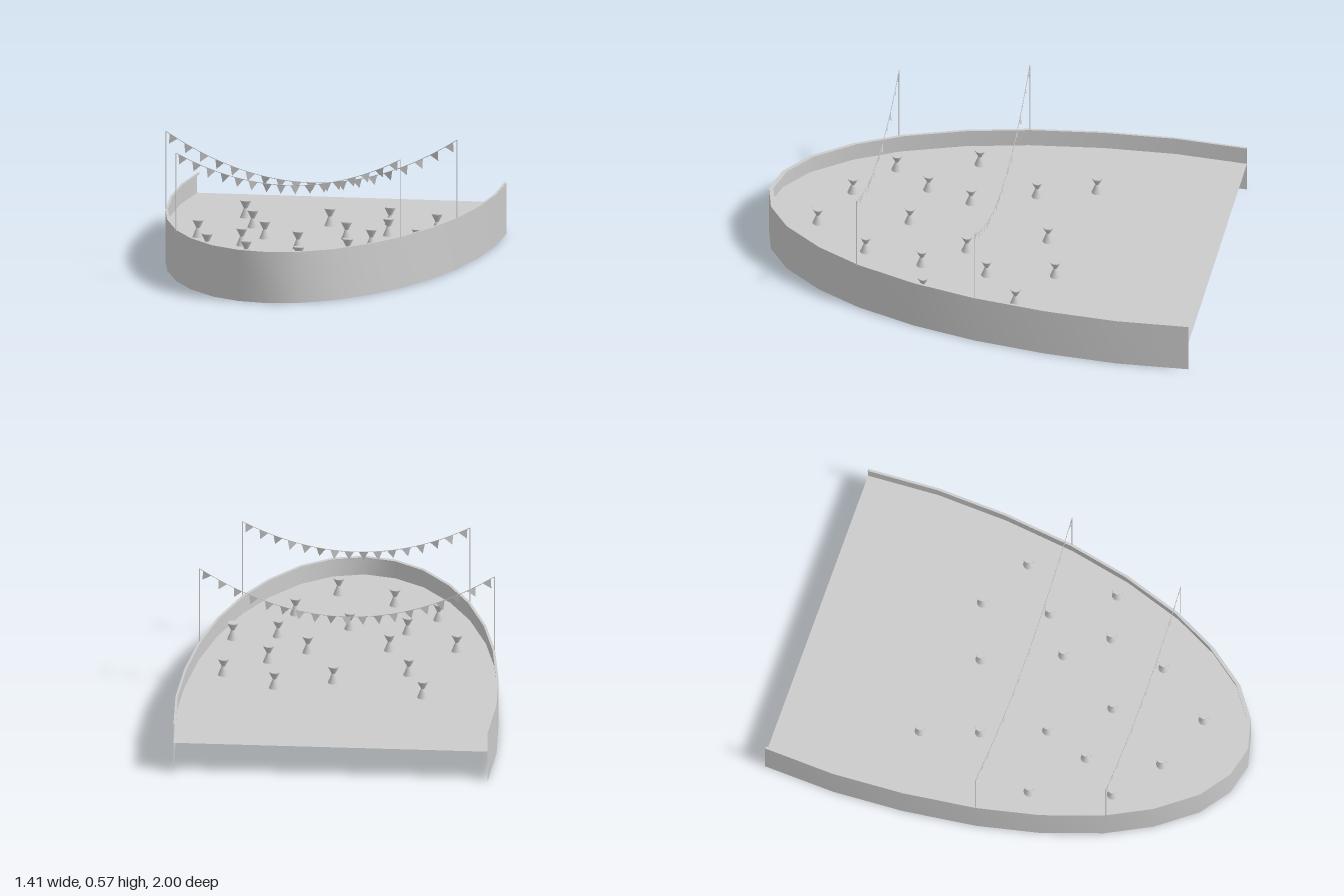
import * as THREE from 'three';

const DECK_Y = 0.138, RIM_Y = 0.227;

// half outline of the hull [x, z], bow to stern
const HALF = [[0, 1], [0.138, 0.965], [0.27, 0.87], [0.4, 0.7], [0.5, 0.505],
  [0.59, 0.24], [0.65, -0.035], [0.69, -0.36], [0.705, -0.68], [0.69, -1]];
// full outline, left stern round the bow to right stern
const OUTER = [...HALF.slice(1).reverse(), ...HALF.map(([x, z]) => [-x, z])];
const INNER = OUTER.map(([x, z]) => [x * 0.985, -1 + (z + 1) * 0.99]);

// tables standing on the deck [x, z]
const TABLES = [[-0.36, -0.395], [0.296, -0.333], [0.043, -0.253], [0.53, -0.2],
  [-0.28, -0.143], [0.344, -0.036], [0.18, 0.083], [-0.175, 0.132], [-0.47, 0.148],
  [0.52, 0.215], [0.323, 0.257], [-0.24, 0.333], [0.017, 0.368], [-0.364, 0.498],
  [0.267, 0.518], [-0.16, 0.655], [0.095, 0.763]];

const grey = new THREE.MeshStandardMaterial({ color: 0xcccccc, side: THREE.DoubleSide });

function add(parent, name, geometry, x = 0, y = 0, z = 0) {
  const mesh = new THREE.Mesh(geometry, grey);
  mesh.name = name;
  mesh.position.set(x, y, z);
  parent.add(mesh);
  return mesh;
}

// ribbon between two outlines at two heights
function ribbon(lineA, yA, lineB, yB) {
  const n = lineA.length, pos = [], idx = [];
  for (const [x, z] of lineA) pos.push(x, yA, z);
  for (const [x, z] of lineB) pos.push(x, yB, z);
  for (let i = 0; i < n - 1; i++) {
    idx.push(i, n + i + 1, i + 1, i, n + i, n + i + 1);
  }
  const g = new THREE.BufferGeometry();
  g.setAttribute('position', new THREE.Float32BufferAttribute(pos, 3));
  g.setIndex(idx);
  g.computeVertexNormals();
  return g;
}

// two poles, a sagging line and a row of pennants
function buntingRow(name, halfSpan, z, lowY, count) {
  const group = new THREE.Group();
  group.name = name;
  group.position.z = z;
  const topY = 0.572;
  const sag = (x) => lowY + (topY - lowY) * (x / halfSpan) ** 2;

  for (const s of [-1, 1]) {
    const h = topY - DECK_Y - 0.085;
    add(group, 'pole', new THREE.CylinderGeometry(0.002, 0.002, h, 6), s * halfSpan, topY - h / 2, 0);
  }

  const points = [];
  for (let i = 0; i <= 16; i++) {
    const x = halfSpan * (i / 8 - 1);
    points.push(new THREE.Vector3(x, sag(x), 0));
  }
  add(group, 'line', new THREE.TubeGeometry(new THREE.CatmullRomCurve3(points), 40, 0.0015, 4));

  const pennant = new THREE.ShapeGeometry(new THREE.Shape([
    new THREE.Vector2(-0.021, 0), new THREE.Vector2(0, -0.04), new THREE.Vector2(0.021, 0)]));
  for (let i = 0; i < count; i++) {
    const x = halfSpan * ((2 * i + 1) / count - 1);
    const flag = add(group, 'pennant', pennant, x, sag(x), 0);
    const slope = 2 * (topY - lowY) * x / halfSpan ** 2;
    // follow the line, with a slight flutter
    flag.rotation.set(0.15 * Math.sin(i * 2.3), 0.15 * Math.sin(i * 1.7), Math.atan(slope));
  }
  return group;
}

export function createModel() {
  const model = new THREE.Group();
  model.name = 'partyDeck';

  // hull wall, open at the stern
  add(model, 'hullWall', ribbon(OUTER, 0, OUTER, RIM_Y));

  // rim cap with a short inner lip
  add(model, 'rimCap', ribbon(OUTER, RIM_Y, INNER, RIM_Y));
  add(model, 'rimLip', ribbon(INNER, RIM_Y, INNER, RIM_Y - 0.007));

  // flat deck inside the wall
  const outline = new THREE.Shape(OUTER.map(([x, z]) => new THREE.Vector2(x, -z)));
  add(model, 'deck', new THREE.ShapeGeometry(outline).rotateX(-Math.PI / 2), 0, DECK_Y, 0);

  // hourglass tables
  const profile = [[0, 0], [0.025, 0], [0.008, 0.042], [0.024, 0.074], [0.024, 0.077], [0, 0.077]];
  // separate bands keep the edges sharp
  const bands = profile.slice(1).map((p, i) => new THREE.LatheGeometry(
    [profile[i], p].map(([r, y]) => new THREE.Vector2(r, y)), 16));
  for (const [x, z] of TABLES) {
    const table = new THREE.Group();
    table.name = 'table';
    table.position.set(x, DECK_Y, z);
    for (const band of bands) add(table, 'tableBand', band);
    model.add(table);
  }

  // pennant rows across the deck
  model.add(buntingRow('frontBunting', 0.5, 0.515, 0.443, 16));
  model.add(buntingRow('rearBunting', 0.648, -0.04, 0.363, 19));

  return model;
}
